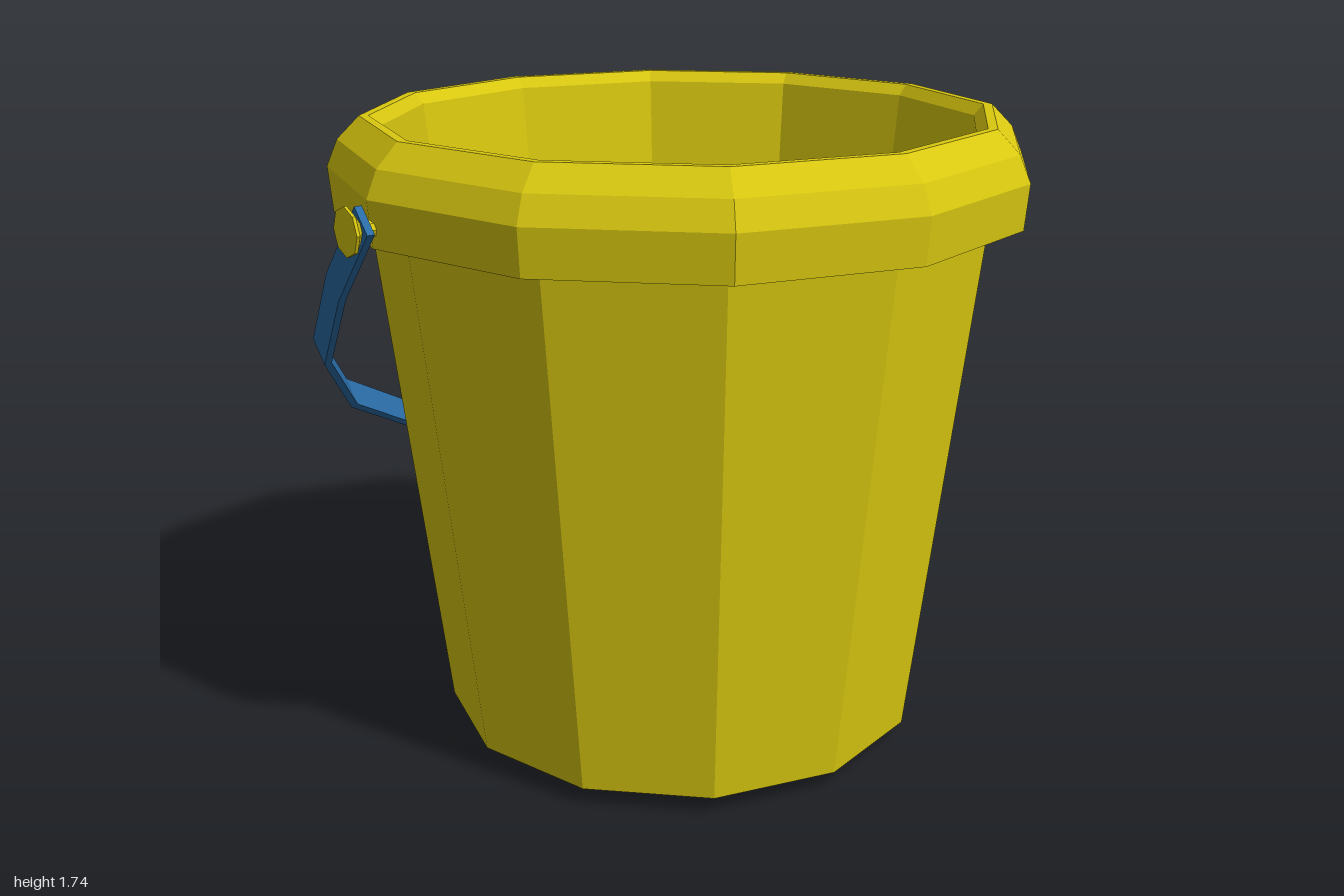
import * as THREE from 'three';

const yellow = new THREE.MeshStandardMaterial({ color: 0xd9c810, flatShading: true });
const blue = new THREE.MeshStandardMaterial({ color: 0x2a6ca6, flatShading: true });
const PIVOT_Y = 1.54;

const lathe = (points, sides, material, name) => {
  const profile = points.map(([r, y]) => new THREE.Vector2(r, y));
  const mesh = new THREE.Mesh(new THREE.LatheGeometry(profile, sides), material);
  mesh.name = name;
  return mesh;
};

// Flat strap: straight arms joined by a half circle, tilted 45 degrees down
function makeHandle() {
  const width = 0.085, half = 0.01, radius = 0.95, bend = 0.25;
  const side = (offset) => {
    const pts = [[-0.04, 0.962 + offset]];
    for (let i = 0; i <= 9; i++) {
      const a = (i * Math.PI) / 9;
      pts.push([bend + (radius + offset) * Math.sin(a), (radius + offset) * Math.cos(a)]);
    }
    pts.push([-0.04, -0.95 - offset]);
    return pts.map(([u, z]) => new THREE.Vector2(u, z));
  };
  const shape = new THREE.Shape([...side(half), ...side(-half).reverse()]);
  const geometry = new THREE.ExtrudeGeometry(shape, { depth: width, bevelEnabled: false });
  geometry.translate(0, 0, -width / 2);
  const s = Math.SQRT1_2;
  geometry.applyMatrix4(new THREE.Matrix4().makeBasis(
    new THREE.Vector3(-s, -s, 0),
    new THREE.Vector3(0, 0, 1),
    new THREE.Vector3(-s, s, 0),
  ));
  const mesh = new THREE.Mesh(geometry, blue);
  mesh.name = 'handle';
  mesh.position.y = PIVOT_Y;
  return mesh;
}

export function createModel() {
  const group = new THREE.Group();
  group.name = 'bucket';

  // Hollow body: bevelled foot, tapered wall, rolled rim, inner wall and floor
  group.add(lathe([
    [0, 0], [0.59, 0], [0.675, 0.05], [0.84, 1.49],
    [0.93, 1.49], [0.94, 1.61], [0.91, 1.68], [0.85, 1.74],
    [0.825, 1.74], [0.8, 1.71], [0.625, 0.1], [0, 0.1],
  ], 12, yellow, 'body'));

  group.add(makeHandle());

  // Flared pins that hold the handle, front and back
  for (const dir of [1, -1]) {
    const pin = lathe([
      [0.022, 0.88], [0.022, 0.965], [0.062, 0.992], [0.062, 1], [0, 1],
    ], 8, yellow, dir > 0 ? 'frontPin' : 'backPin');
    pin.rotation.x = (dir * Math.PI) / 2;
    pin.position.y = PIVOT_Y;
    group.add(pin);
  }
  return group;
}
